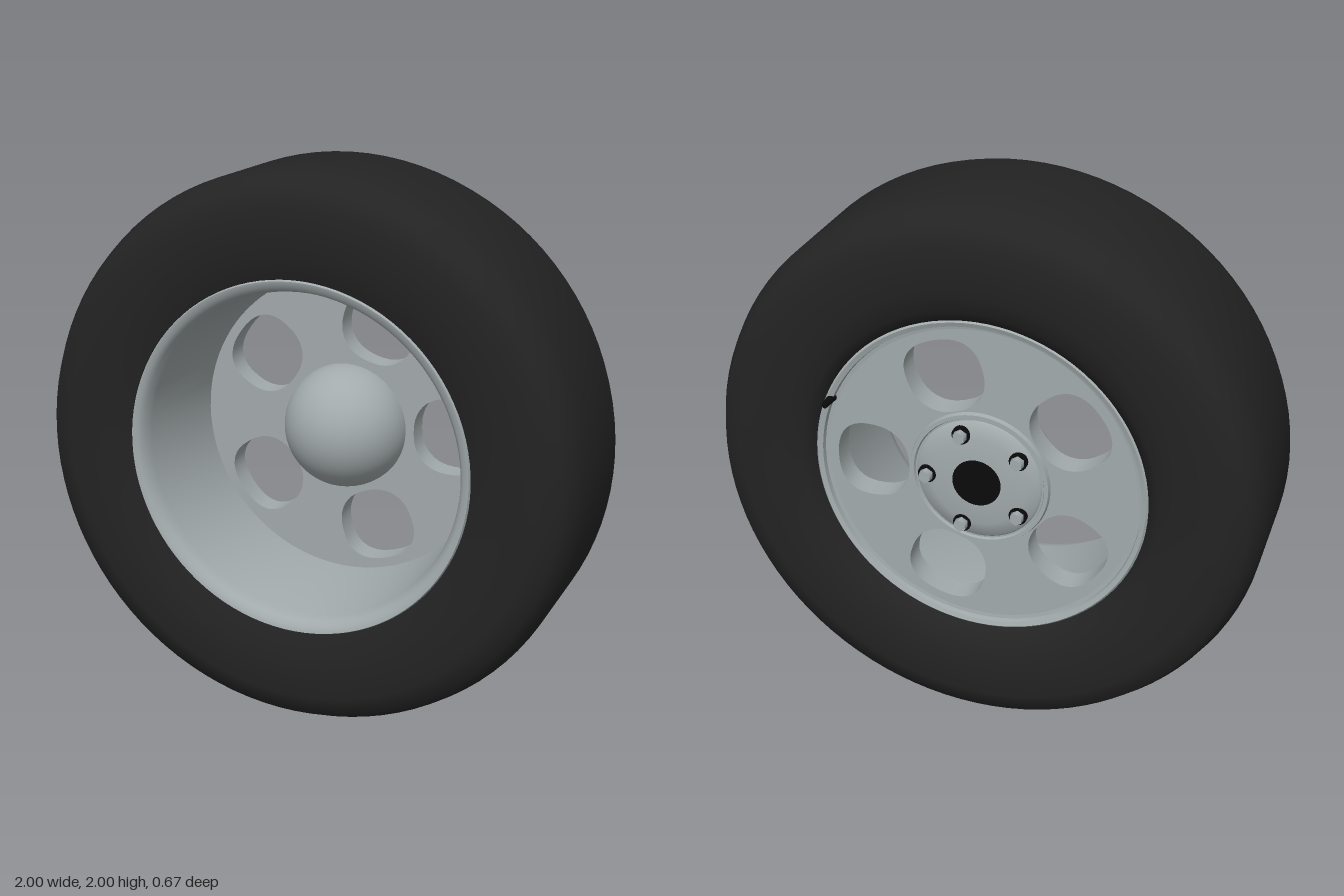
import * as THREE from 'three';
import { toCreasedNormals } from 'three/addons/utils/BufferGeometryUtils.js';

const material = (name, color) => {
  const m = new THREE.MeshStandardMaterial({ color });
  m.name = name;
  return m;
};

export function createModel() {
  const rubber = material('tyre rubber', 0x232323);
  const metal = material('wheel metal', 0xa2aaab);
  const black = material('black plastic', 0x0b0b0b);

  const model = new THREE.Group();
  model.name = 'wheel';
  const wheel = new THREE.Group();
  wheel.name = 'wheelAssembly';
  wheel.position.y = 1; // axle height
  model.add(wheel);

  const add = (name, geometry, mat, x = 0, y = 0, z = 0) => {
    const mesh = new THREE.Mesh(geometry, mat);
    mesh.name = name;
    mesh.position.set(x, y, z);
    wheel.add(mesh);
    return mesh;
  };

  // Revolve [radius, z] points about the z axle
  const revolve = (points, segments = 96, crease = 0.7) => {
    const g = new THREE.LatheGeometry(points.map(([r, z]) => new THREE.Vector2(r, z)), segments);
    g.rotateX(Math.PI / 2);
    return toCreasedNormals(g, crease);
  };
  const cylinderZ = (rFront, rBack, depth, sides) =>
    new THREE.CylinderGeometry(rFront, rBack, depth, sides).rotateX(Math.PI / 2);

  // Tyre: bead, sidewall, rounded shoulder and flat tread
  add('tyre', revolve([
    [0.6, -0.2], [0.61, -0.285], [0.65, -0.31], [0.72, -0.333], [0.88, -0.335],
    [0.95, -0.315], [0.985, -0.25], [1, -0.2], [1, 0.2], [0.985, 0.25],
    [0.95, 0.315], [0.88, 0.335], [0.72, 0.333], [0.64, 0.305], [0.61, 0.2], [0.6, -0.2],
  ], 96, 0.9), rubber);

  // Rim: flared front lip, deep barrel and back lip
  add('rim', revolve([
    [0.62, 0.27], [0.64, 0.3], [0.635, 0.312], [0.615, 0.308], [0.6, 0.29], [0.588, 0.25],
    [0.568, -0.17], [0.568, -0.26], [0.582, -0.262], [0.585, -0.28], [0.602, -0.286],
    [0.612, -0.275], [0.612, -0.2], [0.62, 0.27],
  ]), metal);

  // Disc with five rounded holes
  const disc = new THREE.Shape();
  disc.absarc(0, 0, 0.574, 0, Math.PI * 2);
  for (let i = 0; i < 5; i++) {
    const turn = i * Math.PI * 2 / 5;
    const outline = [];
    for (let k = 0; k < 40; k++) {
      const a = -k * Math.PI * 2 / 40;
      const c = Math.cos(a), s = Math.sin(a);
      const u = 0.398 + 0.135 * Math.sign(c) * Math.abs(c) ** 0.84;
      const v = 0.143 * Math.sign(s) * Math.abs(s) ** 0.84 * (1 + 0.06 * c);
      outline.push(new THREE.Vector2(
        u * Math.cos(turn) - v * Math.sin(turn), u * Math.sin(turn) + v * Math.cos(turn)));
    }
    disc.holes.push(new THREE.Path(outline));
  }
  const discGeometry = new THREE.ExtrudeGeometry(disc,
    { depth: 0.09, bevelEnabled: false, curveSegments: 96 });
  add('disc', toCreasedNormals(discGeometry, 0.7), metal, 0, 0, -0.26);

  // Domed hub on the front
  add('hubDome', new THREE.SphereGeometry(0.232, 48, 20, 0, Math.PI * 2, 0, Math.PI / 2)
    .rotateX(Math.PI / 2), metal, 0, 0, -0.172);

  // Hub on the back, with a raised edge and a black centre cap
  add('backHub', revolve([
    [0, -0.292], [0.09, -0.292], [0.17, -0.287], [0.222, -0.275], [0.23, -0.266],
    [0.236, -0.266], [0.24, -0.275], [0.254, -0.275], [0.26, -0.255],
  ], 64), metal);
  add('centreCap', cylinderZ(0.088, 0.088, 0.008, 40), black, 0, 0, -0.293);

  // Five wheel nuts in dark seats
  for (let i = 0; i < 5; i++) {
    const a = i * Math.PI * 2 / 5;
    const x = 0.185 * Math.cos(a), y = 0.185 * Math.sin(a);
    add('nutSeat', cylinderZ(0.033, 0.033, 0.016, 20), black, x, y, -0.284);
    add('wheelNut', cylinderZ(0.026, 0.023, 0.04, 6), metal, x, y, -0.296);
  }

  // Tyre valve by the back lip
  const va = 0.4;
  add('valve', cylinderZ(0.016, 0.011, 0.07, 12), black,
    0.59 * Math.cos(va), 0.59 * Math.sin(va), -0.298);

  return model;
}
